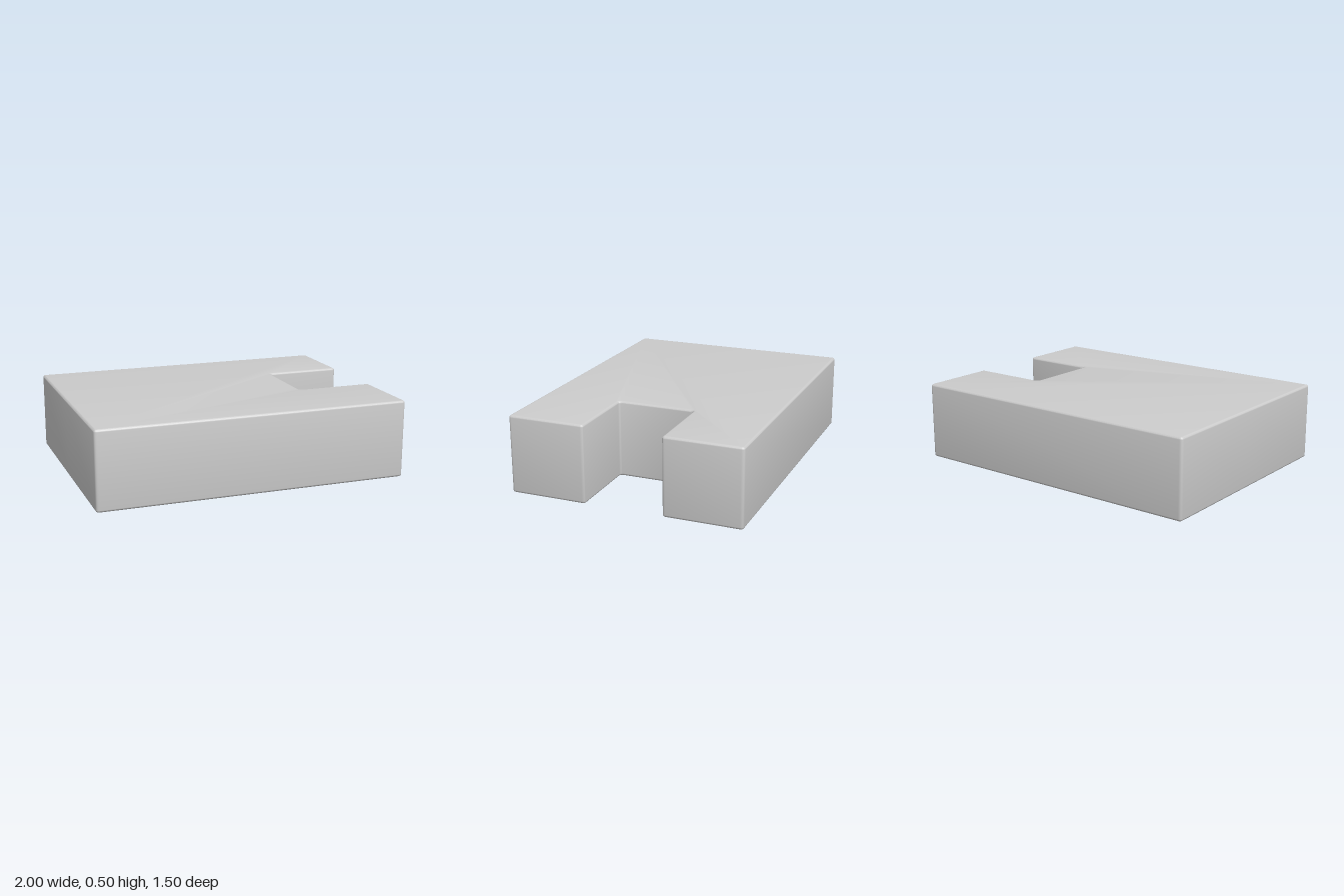
import * as THREE from 'three';
import { toCreasedNormals } from 'three/addons/utils/BufferGeometryUtils.js';

const HEIGHT = 0.5;
const EDGE = 0.015; // rounding of the horizontal edges
const CORNER = 0.02; // rounding of the vertical edges

// Closed outline with every corner rounded, starting on an edge
function roundedOutline(start, corners, radius) {
  const shape = new THREE.Shape();
  shape.moveTo(start.x, start.y);
  corners.forEach((corner, i) => {
    const before = corners[i - 1] ?? start;
    const after = corners[i + 1] ?? start;
    const towards = (p) => p.clone().sub(corner).setLength(radius).add(corner);
    const a = towards(before);
    const b = towards(after);
    shape.lineTo(a.x, a.y);
    shape.quadraticCurveTo(corner.x, corner.y, b.x, b.y);
  });
  return shape;
}

export function createModel() {
  const group = new THREE.Group();
  group.name = 'notchedBlock';

  // Plan of the block: a rectangle with a square notch in its +x side
  const corners = [
    [-1, -0.75], [1, -0.75], [1, -0.25], [0.5, -0.25],
    [0.5, 0.25], [1, 0.25], [1, 0.75], [-1, 0.75],
  ].map(([x, y]) => new THREE.Vector2(x, y));
  const outline = roundedOutline(new THREE.Vector2(-1, 0), corners, CORNER);

  // Extruded upwards, with soft edges top and bottom
  const geometry = new THREE.ExtrudeGeometry(outline, {
    depth: HEIGHT - 2 * EDGE,
    curveSegments: 4,
    bevelEnabled: true,
    bevelThickness: EDGE,
    bevelSize: EDGE,
    bevelOffset: -EDGE,
    bevelSegments: 4,
  });
  geometry.translate(0, 0, EDGE);
  geometry.rotateX(-Math.PI / 2);

  const block = new THREE.Mesh(
    toCreasedNormals(geometry, 0.6),
    new THREE.MeshStandardMaterial({ color: 0xcccccc }),
  );
  block.name = 'block';
  group.add(block);
  return group;
}
